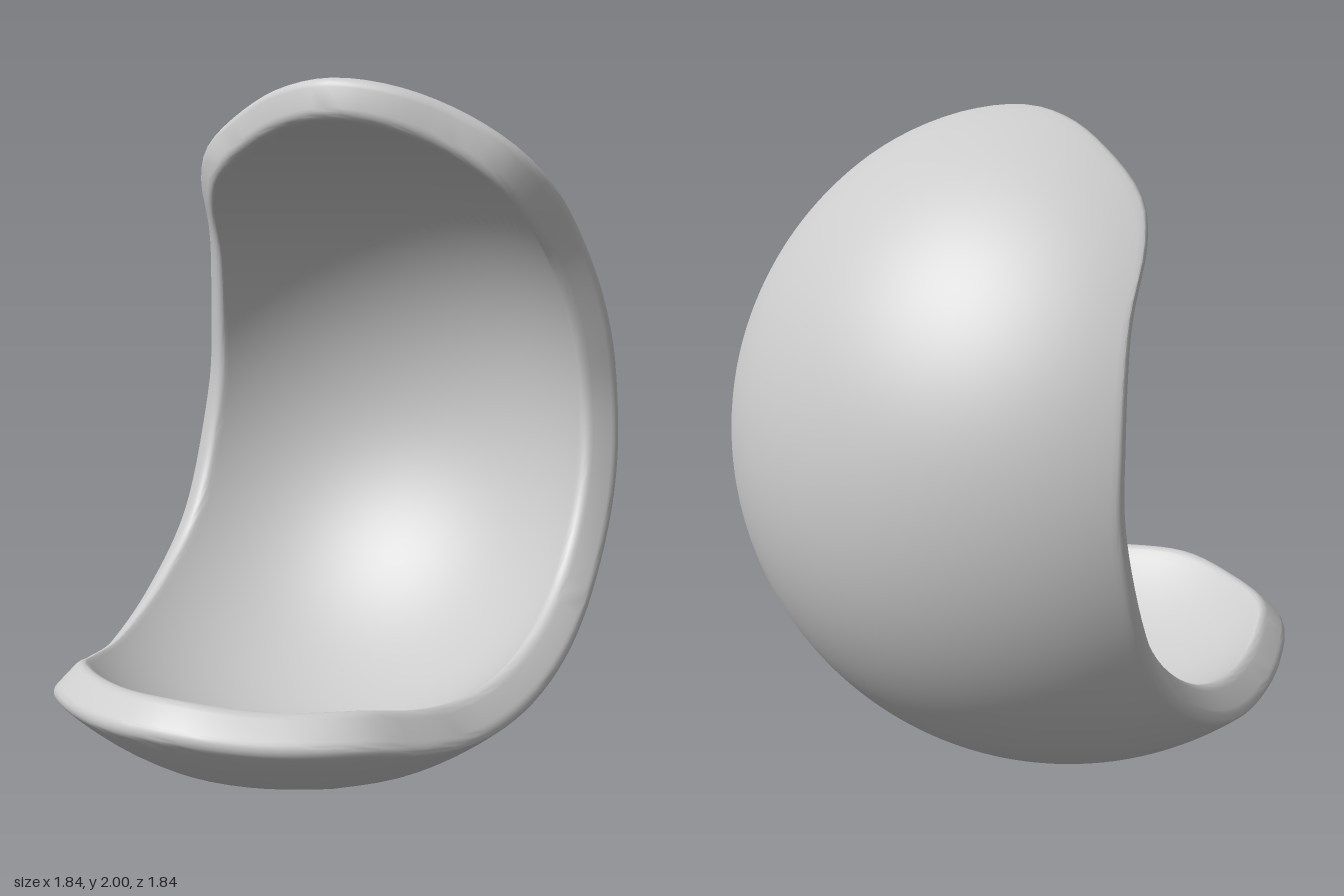
import * as THREE from 'three';
import { toCreasedNormals } from 'three/addons/utils/BufferGeometryUtils.js';

const OUTER = 1.075, INNER = 0.94, BEVEL = 0.035;
const CENTRE = new THREE.Vector3(-0.15, 0.945, 0.15);
const BASE_RADIUS = 0.51;

// half of the opening's edge from the hood tip to the front lip:
// u = towards the opening, v = up, w = sideways, from the sphere's centre
const HALF_RIM = [
  [-0.19, 1.058, 0], [-0.222, 1.035, 0.18], [-0.283, 0.975, 0.354], [-0.36, 0.855, 0.544],
  [-0.45, 0.755, 0.625], [-0.61, 0.555, 0.69], [-0.72, 0.255, 0.755], [-0.74, 0, 0.78],
  [-0.58, -0.445, 0.79], [-0.28, -0.695, 0.772], [0.13, -0.81, 0.695], [0.4, -0.785, 0.615],
  [0.587, -0.745, 0.516], [0.742, -0.73, 0.247], [0.8, -0.72, 0],
];

// turn the u, v, w frame to face the diagonal
const toModel = (u, v, w) =>
  new THREE.Vector3((w - u) * Math.SQRT1_2, v, (u + w) * Math.SQRT1_2);

function rimDirections(count) {
  const half = HALF_RIM.map(([u, v, w]) => toModel(u, v, w));
  const mirrored = HALF_RIM.slice(1, -1).reverse().map(([u, v, w]) => toModel(u, v, -w));
  const curve = new THREE.CatmullRomCurve3([...half, ...mirrored], true);
  curve.arcLengthDivisions = 800;
  return Array.from({ length: count }, (_, j) => curve.getPointAt(j / count).normalize());
}

// wall section from the back of the bowl, over the rounded edge, to the inside
// each row: [fraction of the way to the rim, angle pulled back, radius]
function wallSection() {
  const rows = [];
  const steps = 52, corner = 6;
  for (let i = 0; i < steps; i++) rows.push([i / steps, BEVEL * i / steps, OUTER]);
  for (let k = 0; k <= corner; k++) {
    const a = (k / corner) * Math.PI / 2;
    rows.push([1, BEVEL * (1 - Math.sin(a)), OUTER - BEVEL * (1 - Math.cos(a))]);
  }
  for (let k = 0; k <= corner; k++) {
    const a = (k / corner) * Math.PI / 2;
    rows.push([1, BEVEL * (1 - Math.cos(a)), INNER + BEVEL * (1 - Math.sin(a))]);
  }
  for (let i = steps - 1; i >= 0; i--) rows.push([i / steps, BEVEL * i / steps, INNER]);
  return rows;
}

function shellGeometry() {
  const cols = 144;
  const rim = rimDirections(cols);
  const rows = wallSection();
  const back = toModel(-0.875, -0.485, 0).normalize();
  const positions = [], index = [];
  const floor = -CENTRE.y + 0.002;

  for (const [s, pull, radius] of rows) {
    for (const dir of rim) {
      // arc from the back of the bowl towards this point of the rim
      const side = dir.clone().addScaledVector(back, -dir.dot(back)).normalize();
      const angle = back.angleTo(dir) * s - pull;
      const p = back.clone().multiplyScalar(Math.cos(angle)).addScaledVector(side, Math.sin(angle));
      p.multiplyScalar(radius);
      // flatten the underside
      if (p.y < floor) p.multiplyScalar(floor / p.y);
      positions.push(p.x, p.y, p.z);
    }
  }
  for (let i = 0; i < rows.length - 1; i++) {
    for (let j = 0; j < cols; j++) {
      const n = (j + 1) % cols;
      const a = i * cols + j, b = a + cols, c = i * cols + n, d = c + cols;
      if (i < rows.length - 2) index.push(a, b, d);
      else index.push(a, b, c);
      if (i > 0 && i < rows.length - 2) index.push(a, d, c);
    }
  }
  const geometry = new THREE.BufferGeometry();
  geometry.setAttribute('position', new THREE.Float32BufferAttribute(positions, 3));
  geometry.setIndex(index);
  return toCreasedNormals(geometry, 0.42);
}

export function createModel() {
  const group = new THREE.Group();
  group.name = 'ballChair';
  const material = new THREE.MeshStandardMaterial({ color: 0xcccccc });

  // hollow ball with a curved opening
  const shell = new THREE.Mesh(shellGeometry(), material);
  shell.name = 'shell';
  shell.position.copy(CENTRE);
  group.add(shell);

  // flat round foot
  const base = new THREE.Mesh(new THREE.CircleGeometry(BASE_RADIUS, 96), material);
  base.name = 'base';
  base.rotation.x = Math.PI / 2;
  base.position.set(CENTRE.x, 0, CENTRE.z);
  group.add(base);

  return group;
}
